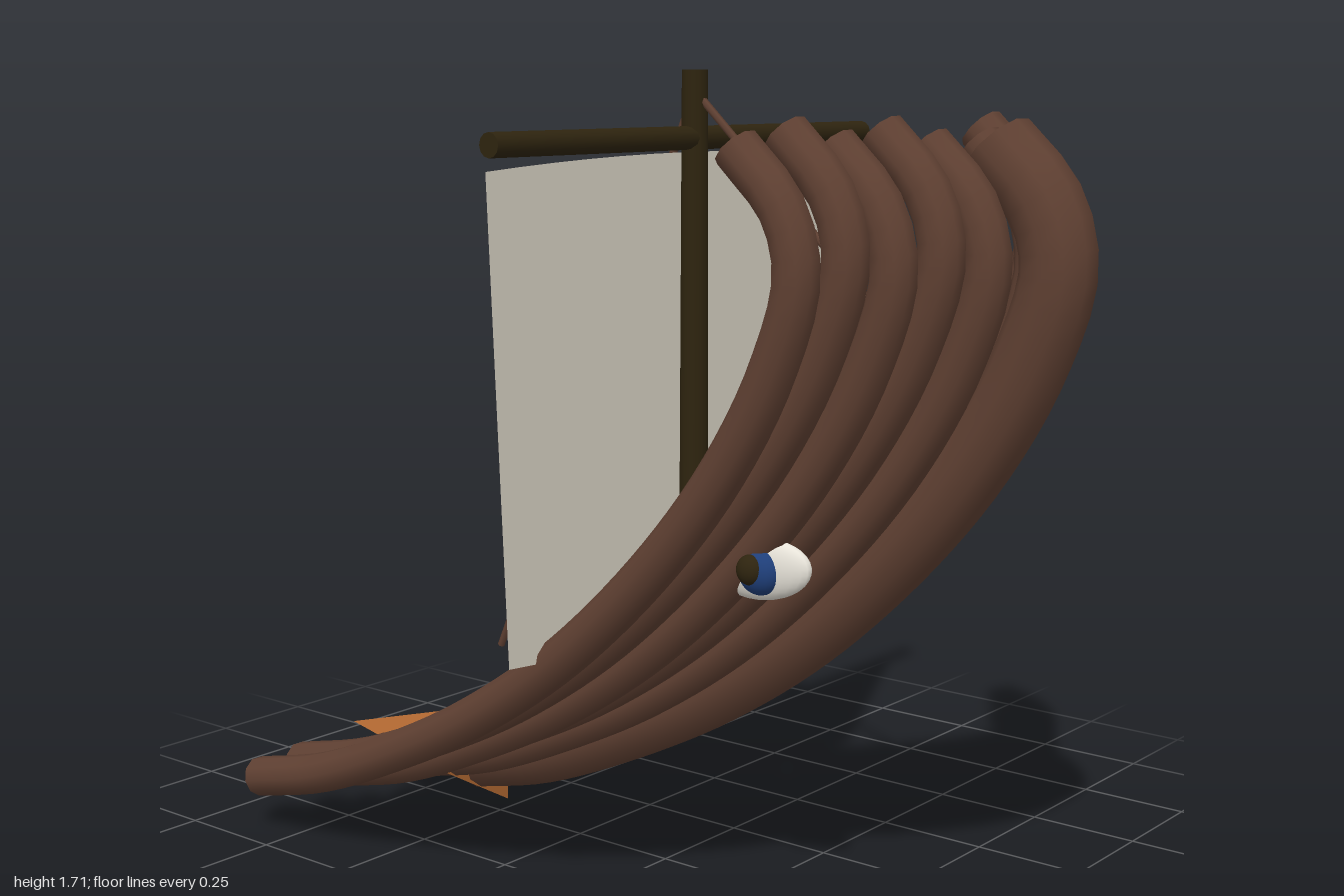
import * as THREE from 'three';

const mat = (name, color, side = THREE.FrontSide) => {
  const m = new THREE.MeshStandardMaterial({ color, side });
  m.name = name;
  return m;
};

export function createModel() {
  const root = new THREE.Group();
  root.name = 'logBoat';

  const wood = mat('logBrown', 0x5f4032, THREE.DoubleSide);
  const dark = mat('darkTimber', 0x2e240f);
  const cloth = mat('sailCloth', 0xd9d3c5, THREE.DoubleSide);
  const bronze = mat('bronze', 0xae6630);
  const white = mat('eyeWhite', 0xe8e4da);
  const blue = mat('irisBlue', 0x1f3f7a);

  const add = (name, geo, material, x = 0, y = 0, z = 0, parent = root) => {
    const m = new THREE.Mesh(geo, material);
    m.name = name;
    m.position.set(x, y, z);
    parent.add(m);
    return m;
  };

  // Hull: bent open-ended logs sharing one profile, stepped forward to the middle
  const profile = [
    [-0.855, 0.125], [-0.64, 0.18], [-0.4, 0.28], [-0.17, 0.4], [0.077, 0.57], [0.31, 0.787],
    [0.475, 0.99], [0.585, 1.185], [0.637, 1.36], [0.605, 1.475], [0.503, 1.58],
  ];
  const log = (name, dx, dy, z, r) => {
    const path = new THREE.CatmullRomCurve3(profile.map(([x, y]) => new THREE.Vector3(x + dx, y + dy, z)));
    add(name, new THREE.TubeGeometry(path, 48, r, 10, false), wood);
  };
  log('keelLog', 0.283, 0, 0, 0.073);
  for (const side of [1, -1]) {
    for (let i = 0; i < 5; i++) {
      log('hullLog', i * 0.0475, (i % 2) * 0.024, side * (0.422 - i * 0.0825), 0.045);
    }
  }

  // Three-sided bronze spike at the stern
  const spike = new THREE.ConeGeometry(0.137, 0.46, 3).toNonIndexed();
  spike.computeVertexNormals();
  spike.rotateZ(Math.PI / 2);
  // cone corners: one toward +z, the others above and below on the -z side
  add('sternSpike', spike, bronze, -0.77, 0.125, 0);

  // Mast and yard
  add('mast', new THREE.CylinderGeometry(0.027, 0.032, 1.3, 12), dark, 0.077, 1.067, 0);
  const yard = new THREE.CylinderGeometry(0.024, 0.024, 1.215, 12);
  yard.rotateX(Math.PI / 2);
  add('yard', yard, dark, 0.077, 1.58, 0);

  // Sail hung on the stern side of the mast
  const s = new THREE.Shape();
  s.moveTo(-0.54, 0.567);
  s.quadraticCurveTo(0, 0.52, 0.54, 0.567);
  s.lineTo(0.585, 1.53);
  s.quadraticCurveTo(0, 1.57, -0.585, 1.53);
  s.closePath();
  const sail = new THREE.ShapeGeometry(s, 12);
  sail.rotateY(-Math.PI / 2);
  add('sail', sail, cloth, 0.046, 0, 0);

  // Stay ropes
  for (const [x, y] of [[-0.49, 0.41], [0.69, 1.11]]) {
    const line = new THREE.LineCurve3(new THREE.Vector3(0.077, 1.675, 0), new THREE.Vector3(x, y, 0));
    add('stayRope', new THREE.TubeGeometry(line, 1, 0.008, 6), wood);
  }

  // Eyes set into the logs on both sides of the bow
  const ball = new THREE.SphereGeometry(1, 24, 16);
  for (const side of [1, -1]) {
    const eye = new THREE.Group();
    eye.name = 'eye';
    root.add(eye);
    const w = add('eyeWhite', ball, white, 0.452, 0.778, side * 0.262, eye);
    w.scale.set(0.115, 0.06, 0.027);
    w.rotation.z = 0.15;
    add('iris', ball, blue, 0.457, 0.777, side * 0.277, eye).scale.set(0.046, 0.046, 0.035);
    add('pupil', ball, dark, 0.45, 0.783, side * 0.299, eye).scale.set(0.029, 0.03, 0.024);
  }
  return root;
}
